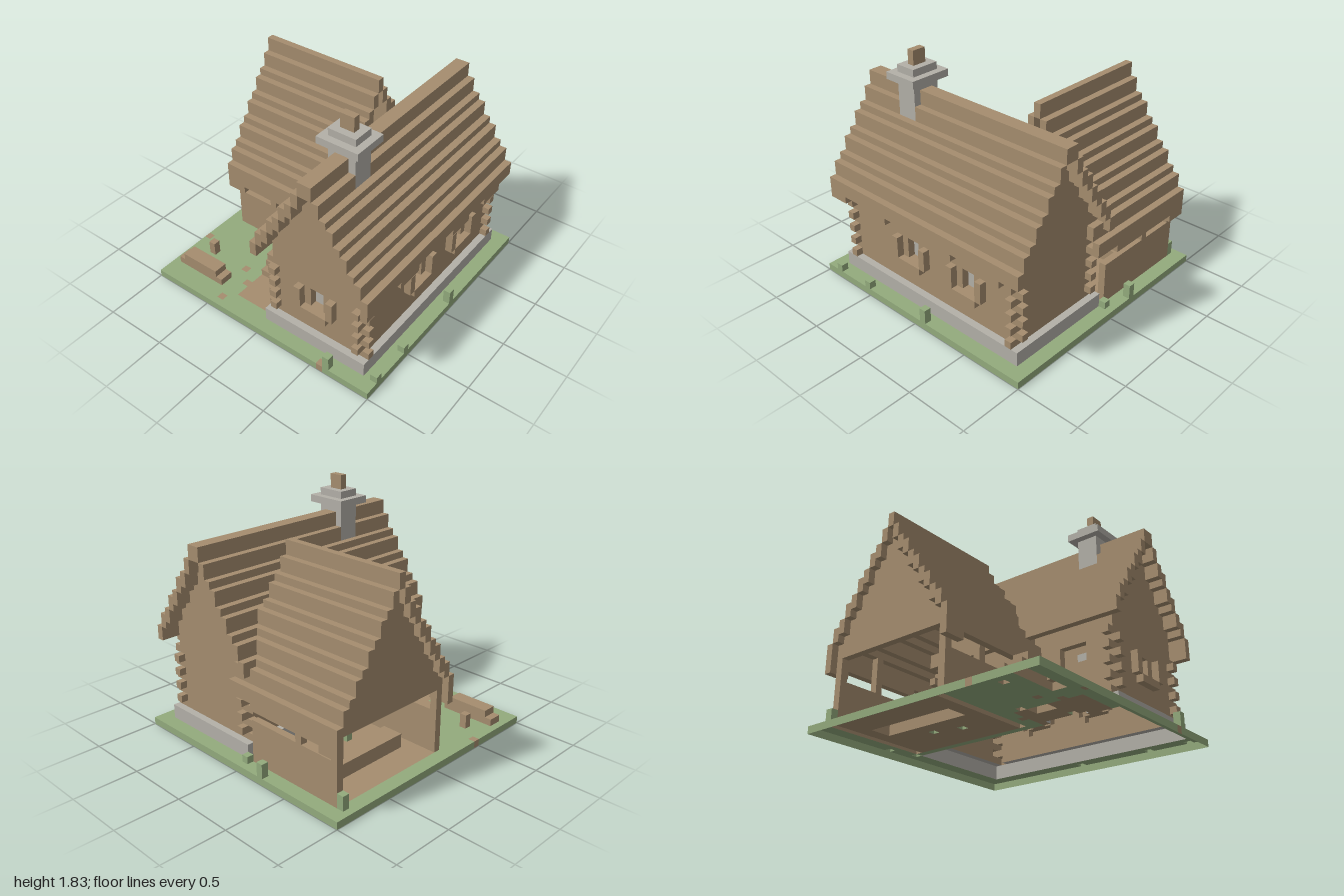
import * as THREE from 'three';

const U = 1 / 18; // edge of one building block

export function createModel() {
  const mat = (name, color) => new THREE.MeshStandardMaterial({ name, color, side: THREE.DoubleSide });
  const wood = mat('wood', 0xa58d6f);
  const stone = mat('stone', 0xb3b0a8);
  const grass = mat('grass', 0x93ab7d);

  // Blocks are kept in one grid so that touching parts hide their shared faces.
  const cells = new Map();
  const parts = new Map();
  const key = (x, y, z) => (x + 32) + (y + 1) * 64 + (z + 32) * 4096;
  const box = (name, material, x0, x1, y0, y1, z0, z1) => {
    if (!parts.has(name)) parts.set(name, material);
    for (let x = x0; x < x1; x++)
      for (let y = y0; y < y1; y++)
        for (let z = z0; z < z1; z++) cells.set(key(x, y, z), { name, x, y, z });
  };
  const carve = (x0, x1, y0, y1, z0, z1) => {
    for (let x = x0; x < x1; x++)
      for (let y = y0; y < y1; y++)
        for (let z = z0; z < z1; z++) cells.delete(key(x, y, z));
  };

  // Lawn with bare earth
  box('lawn', grass, -18, 18, 0, 1, -18, 18);
  box('barnFloor', wood, -3, 16, 0, 1, -16, -1);
  box('yardDirt', wood, -15, -5, 0, 1, -6, 0);
  box('yardDirt', wood, -5, -4, 0, 1, -4, -3);
  for (const [x, z] of [[-13, -7], [-17, -8], [-9, -18], [-11, -9], [-18, 10]])
    box('yardDirt', wood, x, x + 1, 0, 1, z, z + 1);

  // Stone base and door step
  box('foundation', stone, -16, 16, 1, 3, 0, 16);
  box('doorStep', stone, -12, -6, 1, 2, -1, 0);

  // Log walls with crossed corner ends
  box('logWalls', wood, -15, 15, 3, 13, 1, 15);
  for (let y = 3; y < 12; y++)
    for (const s of [-15, 14]) {
      if (y % 2) {
        box('logEnds', wood, s, s + 1, y, y + 1, 15, 16);
        box('logEnds', wood, s, s + 1, y, y + 1, 0, 1);
      } else {
        box('logEnds', wood, -16, -15, y, y + 1, s < 0 ? 1 : 14, s < 0 ? 2 : 15);
        box('logEnds', wood, 15, 16, y, y + 1, s < 0 ? 1 : 14, s < 0 ? 2 : 15);
      }
    }

  // Stepped main roof; tops listed from ridge to eave
  const tops = [28, 26, 24, 23, 21, 20, 18, 17, 15, 14, 12];
  for (let d = 0; d <= 8; d++)
    for (const z of [8 + d, 7 - d]) {
      const top = tops[d];
      box('mainRoof', wood, -17, 17, top - 2, top, z, z + 1);
      if (d < 7) box('gableWalls', wood, -15, 15, 13, top - 2, z, z + 1);
    }
  for (const [a, b] of [[-17, -14], [-10, -6], [2, 6], [10, 14]])
    box('mainRoof', wood, a, b, 12, 13, 16, 17);

  // Barn roof and its open-bottomed gable
  for (let d = 0; d <= 10; d++)
    for (const x of d ? [6 + d, 6 - d] : [6]) {
      const top = tops[d];
      box('barnRoof', wood, x, x + 1, top - 2, top, -17, 2);
      if (d < 10 && top > 12) box('barnGable', wood, x, x + 1, 10, top - 2, -16, -15);
    }
  for (const x of [-4, 16]) {
    box('barnRoof', wood, x, x + 1, 9, 10, -17, -2);
    box('barnRoof', wood, x, x + 1, 8, 9, -17, -14);
  }

  // Barn side walls and posts
  for (const x of [-3, 15]) {
    box('barnWalls', wood, x, x + 1, 1, 7, -16, -1);
    for (const z of [-16, -10]) box('barnPosts', wood, x, x + 1, 7, 12, z, z + 1);
  }
  box('barnTrough', wood, 0, 13, 1, 3, -12, -9);

  // Chimney with cap and pot
  box('chimney', stone, -10, -7, 24, 31, 6, 10);
  box('chimneyCap', stone, -11, -6, 29, 30, 5, 11);
  box('chimneyPot', wood, -9, -8, 31, 33, 7, 9);

  // Front windows: recessed pane, shutters, sill
  for (const x of [-4, 6]) {
    carve(x, x + 2, 7, 10, 14, 15);
    box('windowPanes', stone, x, x + 2, 7, 10, 13, 14);
    for (const s of [x - 2, x + 3]) box('shutters', wood, s, s + 1, 7, 10, 15, 16);
    box('windowSills', wood, x - 1, x + 3, 6, 7, 15, 16);
  }
  // Side window
  carve(-15, -14, 7, 10, 7, 9);
  box('windowPanes', stone, -14, -13, 7, 10, 7, 9);
  for (const z of [5, 10]) box('shutters', wood, -16, -15, 7, 10, z, z + 1);
  box('windowSills', wood, -16, -15, 6, 7, 6, 10);

  // Recessed back door with hinge straps
  carve(-11, -7, 3, 11, 1, 2);
  box('door', wood, -11, -7, 3, 11, 2, 3);
  for (const y of [5, 9]) box('doorHinges', stone, -11, -9, y, y + 1, 2, 3);

  // Yard: log bench, stump, chopping block
  box('logBench', wood, -15, -13, 1, 2, -17, -9);
  box('logBench', wood, -15, -13, 2, 3, -16, -10);
  box('stump', wood, -11, -10, 1, 3, -15, -14);
  box('choppingBlock', wood, -10, -9, 1, 2, -6, -4);
  box('choppingBlock', wood, -9, -7, 1, 3, -6, -4);
  box('axeHead', stone, -8, -7, 3, 4, -5, -4);
  box('axeHandle', wood, -8, -7, 4, 5, -5, -4);
  box('firewood', wood, -7, -6, 1, 2, -7, -6);

  // Grass tufts: x, z, height
  for (const [x, z, h] of [[-16, 17, 1], [-10, 17, 1], [1, 17, 2], [-18, 11, 2], [17, -5, 2],
    [15, -17, 2], [16, -1, 1], [-11, -2, 2], [7, -7, 2], [3, -6, 2]])
    box('grassTufts', grass, x, x + 1, 1, 1 + h, z, z + 1);

  // Turn every exposed block face into a quad of its part
  const data = new Map([...parts.keys()].map((n) => [n, { pos: [], nor: [], idx: [] }]));
  for (const c of cells.values()) {
    const g = data.get(c.name);
    const p = [c.x, c.y, c.z];
    for (let a = 0; a < 3; a++)
      for (const s of [-1, 1]) {
        const q = [...p];
        q[a] += s;
        if (q[1] < 0 || cells.has(key(...q))) continue; // open underside
        const b = (a + 1) % 3, e = (a + 2) % 3, start = g.pos.length / 3;
        for (const [i, j] of [[0, 0], [1, 0], [1, 1], [0, 1]]) {
          const v = [...p], n = [0, 0, 0];
          if (s > 0) v[a] += 1;
          v[b] += i;
          v[e] += j;
          n[a] = s;
          g.pos.push(v[0] * U, v[1] * U, v[2] * U);
          g.nor.push(...n);
        }
        for (const k of s > 0 ? [0, 1, 2, 0, 2, 3] : [0, 2, 1, 0, 3, 2]) g.idx.push(start + k);
      }
  }

  const model = new THREE.Group();
  model.name = 'logCabinWithBarn';
  for (const [name, g] of data) {
    if (!g.idx.length) continue;
    const geo = new THREE.BufferGeometry();
    geo.setAttribute('position', new THREE.Float32BufferAttribute(g.pos, 3));
    geo.setAttribute('normal', new THREE.Float32BufferAttribute(g.nor, 3));
    geo.setIndex(g.idx);
    const mesh = new THREE.Mesh(geo, parts.get(name));
    mesh.name = name;
    model.add(mesh);
  }
  return model;
}
